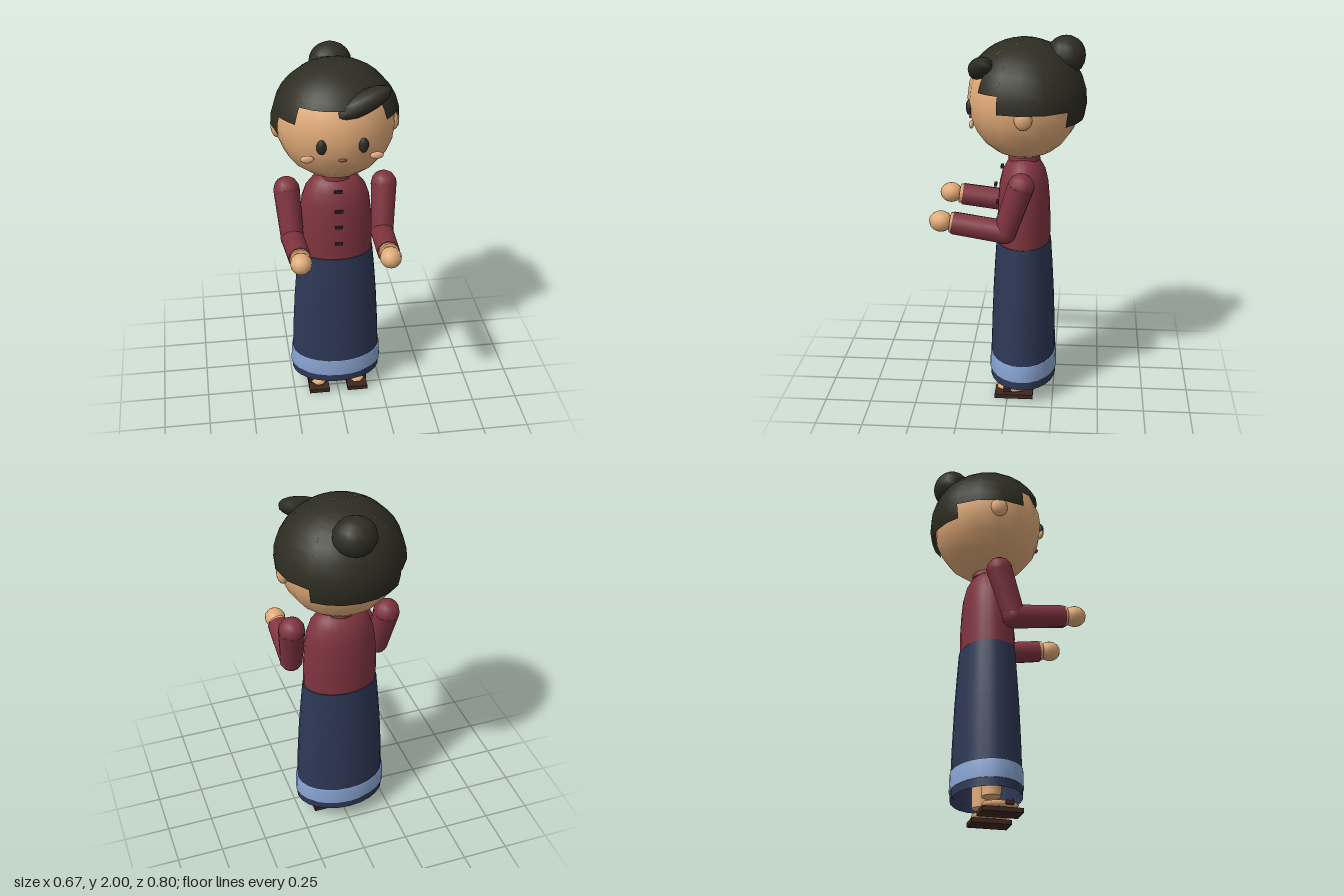
import * as THREE from 'three';

const mat = (name, color, side = THREE.FrontSide) => {
  const m = new THREE.MeshStandardMaterial({ color, side });
  m.name = name;
  return m;
};

export function createModel() {
  const group = new THREE.Group();
  const skin = mat('skin', 0xe0aa78);
  const blush = mat('blush', 0xe8ae84);
  const hair = mat('hair', 0x2d2d22, THREE.DoubleSide);
  const red = mat('blouse red', 0x7f343f);
  const navy = mat('skirt navy', 0x2e3856, THREE.DoubleSide);
  const blue = mat('band blue', 0x8aa6d4, THREE.DoubleSide);
  const brown = mat('sandal brown', 0x3f2620);
  const lip = mat('lip', 0x95454a);
  const dark = mat('button dark', 0x2c2022);
  const Z = -0.08; // body axis

  const add = (name, geo, material, pos = [0, 0, 0], parent = group) => {
    const m = new THREE.Mesh(geo, material);
    m.name = name;
    m.position.set(...pos);
    parent.add(m);
    return m;
  };
  const blob = (name, material, pos, r, ws = 12, hs = 8) => {
    const m = add(name, new THREE.SphereGeometry(1, ws, hs), material, pos);
    m.scale.set(...r);
    return m;
  };
  const limb = (name, material, a, b, ra, rb) => {
    const p = new THREE.Vector3(...a), q = new THREE.Vector3(...b);
    const d = q.clone().sub(p);
    const m = add(name, new THREE.CylinderGeometry(rb, ra, d.length(), 12), material,
      p.clone().add(q).multiplyScalar(0.5).toArray());
    m.quaternion.setFromUnitVectors(new THREE.Vector3(0, 1, 0), d.normalize());
    return m;
  };
  const lathe = (name, pts, material, depth) => {
    const m = add(name, new THREE.LatheGeometry(pts.map(p => new THREE.Vector2(...p)), 24),
      material, [0, 0, Z]);
    m.scale.z = depth;
    return m;
  };

  // Head and face
  blob('head', skin, [0, 1.67, Z], [0.312, 0.31, 0.296], 16, 12);
  blob('mouth', lip, [0, 1.57, 0.201], [0.021, 0.009, 0.01]);

  // Hair cap: stepped hem, [from angle, to angle, hem height], measured from the front
  const hems = [[0, 45, 1.83], [45, 67.5, 1.75], [67.5, 135, 1.66], [135, 180, 1.58]];
  const cap = new THREE.Group();
  cap.name = 'hairCap';
  cap.position.set(0, 1.67, Z);
  cap.scale.set(0.334, 0.315, 0.322);
  group.add(cap);
  for (const side of [-1, 1]) {
    for (const [a, b, hem] of hems) {
      const start = THREE.MathUtils.degToRad(side > 0 ? 90 + a : 90 - b);
      const theta = Math.acos((hem - 1.67) / 0.315);
      add('hairSection', new THREE.SphereGeometry(1, Math.round((b - a) / 22.5), 8,
        start, THREE.MathUtils.degToRad(b - a), 0, theta), hair, [0, 0, 0], cap);
    }
  }
  blob('bun', hair, [0, 1.898, -0.29], [0.112, 0.102, 0.102], 14, 10);
  const lock = blob('forelock', hair, [0.11, 1.845, 0.135], [0.158, 0.056, 0.066], 12, 8);
  lock.rotation.set(0, 0.2, 0.37);

  // Blouse
  lathe('torso', [[0.2, 0.88], [0.2, 1.02], [0.193, 1.13], [0.182, 1.22], [0.16, 1.285],
    [0.125, 1.33], [0.075, 1.365], [0, 1.37]], red, 0.71);
  add('collar', new THREE.CylinderGeometry(0.08, 0.085, 0.035, 16), red, [0, 1.363, Z]);
  for (const [y, z] of [[1.0, 0.062], [1.1, 0.062], [1.2, 0.071], [1.3, 0.037]])
    add('button', new THREE.BoxGeometry(0.042, 0.014, 0.014), dark, [0, y, z]);

  // Long skirt, open at the hem, with a pale band
  lathe('skirt', [[0.25, 0.1], [0.248, 0.2], [0.241, 0.4], [0.23, 0.6], [0.218, 0.75],
    [0.204, 0.9]], navy, 0.72);
  lathe('skirtTop', [[0.204, 0.9], [0, 0.9]], navy, 0.72);
  lathe('hemBand', [[0.248, 0.145], [0.257, 0.145], [0.254, 0.24], [0.246, 0.24]], blue, 0.72);

  for (const s of [-1, 1]) {
    // Face details
    blob('eye', hair, [s * 0.105, 1.645, 0.196], [0.026, 0.04, 0.018]);
    blob('cheek', blush, [s * 0.175, 1.575, 0.178], [0.035, 0.02, 0.012]);
    blob('ear', skin, [s * 0.302, 1.635, -0.09], [0.03, 0.053, 0.046]);

    // Bent arm with sleeve, wrist and hand
    const shoulder = [s * 0.26, 1.275, -0.078];
    const elbow = [s * 0.243, 1.022, 0.005];
    const cuff = [s * 0.23, 1.06, 0.275];
    blob('shoulder', red, shoulder, [0.07, 0.07, 0.07]);
    limb('upperArm', red, shoulder, elbow, 0.07, 0.061);
    blob('elbow', red, elbow, [0.063, 0.063, 0.063]);
    limb('forearm', red, elbow, cuff, 0.062, 0.06);
    limb('wrist', skin, [s * 0.23, 1.06, 0.26], [s * 0.23, 1.064, 0.29], 0.054, 0.054);
    blob('hand', skin, [s * 0.23, 1.068, 0.338], [0.057, 0.055, 0.062]);

    // Leg, foot and sandal
    add('leg', new THREE.CylinderGeometry(0.055, 0.05, 0.33, 12), skin, [s * 0.11, 0.25, Z]);
    blob('foot', skin, [s * 0.11, 0.048, -0.036], [0.055, 0.023, 0.098], 10, 6);
    add('sandalSole', new THREE.BoxGeometry(0.115, 0.024, 0.21), brown, [s * 0.11, 0.012, -0.036]);
    add('sandalStrap', new THREE.BoxGeometry(0.114, 0.02, 0.042), brown, [s * 0.11, 0.05, 0]);
  }
  return group;
}
